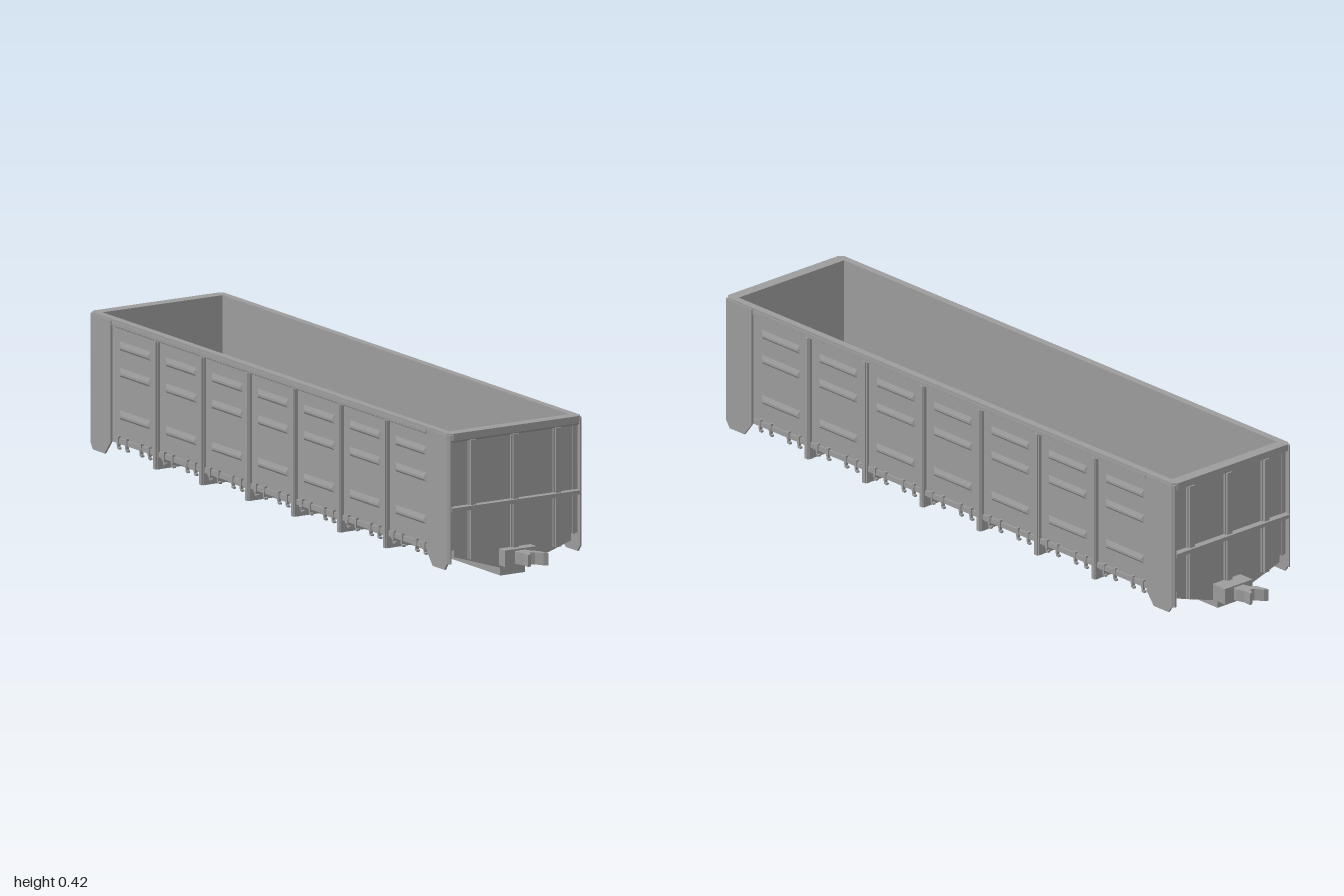
import * as THREE from 'three';

const paint = new THREE.MeshStandardMaterial({ color: 0x9c9c9c, flatShading: true, side: THREE.DoubleSide });

function add(parent, name, geometry) {
  const mesh = new THREE.Mesh(geometry, paint);
  mesh.name = name;
  parent.add(mesh);
  return mesh;
}

// Box given by its minimum and maximum on each axis
function box(parent, name, x0, x1, y0, y1, z0, z1) {
  const g = new THREE.BoxGeometry(x1 - x0, y1 - y0, z1 - z0);
  g.translate((x0 + x1) / 2, (y0 + y1) / 2, (z0 + z1) / 2);
  return add(parent, name, g);
}

function extrude(points, depth, hole) {
  const shape = new THREE.Shape(points.map(([a, b]) => new THREE.Vector2(a, b)));
  if (hole) shape.holes.push(new THREE.Path(hole.map(([a, b]) => new THREE.Vector2(a, b))));
  return new THREE.ExtrudeGeometry(shape, { depth, bevelEnabled: false });
}
// Outline in (x, z), raised from y
const plan = (pts, y, h, hole) =>
  extrude(pts.map(([x, z]) => [x, -z]), h, hole && hole.map(([x, z]) => [x, -z])).rotateX(-Math.PI / 2).translate(0, y, 0);
// Outline in (z, y), spanning x0..x1
const profile = (pts, x0, x1) => extrude(pts, x1 - x0).rotateY(-Math.PI / 2).translate(x1, 0, 0);

const rect = (x, z) => [[-x, -z], [x, -z], [x, z], [-x, z]];
const chamfered = (x, z, c) => [[-x + c, -z], [x - c, -z], [x, -z + c], [x, z - c], [x - c, z], [-x + c, z], [-x, z - c], [-x, -z + c]];

const RIBS = 6, PITCH = 0.231;
const ribZ = (i) => (i - (RIBS - 1) / 2) * PITCH;

// Shallow pressed louvre with a ridge along its lower half
function louvreGeometry() {
  const g = new THREE.BoxGeometry(0.005, 0.03, 0.158);
  const p = g.attributes.position;
  for (let i = 0; i < p.count; i++) {
    if (p.getX(i) > 0) {
      p.setY(i, p.getY(i) > 0 ? -0.002 : -0.008);
      p.setZ(i, p.getZ(i) * 0.88);
    }
  }
  g.computeVertexNormals();
  return g;
}

// Door hook: a small bent plate hanging under the side wall
const hookProfile = [[-0.004, 0.095], [0.004, 0.095], [0.005, 0.075], [0.002, 0.06], [-0.007, 0.058], [-0.007, 0.063], [-0.002, 0.065], [-0.003, 0.075]];

function createSide() {
  const side = new THREE.Group();
  side.name = 'side';
  box(side, 'sideWall', 0.195, 0.204, 0.088, 0.405, -0.89, 0.89);
  box(side, 'lowerSill', 0.203, 0.209, 0.074, 0.089, -0.8, 0.8);

  // Top rail with a sloped underside
  const rail = [[0.2, 0.392], [0.206, 0.395], [0.218, 0.403], [0.218, 0.413], [0.2, 0.413]];
  add(side, 'topRail', extrude(rail, 1.58).translate(0, 0, -0.79));

  // Vertical ribs between the door panels
  for (let i = 0; i < RIBS; i++) {
    const z = ribZ(i);
    box(side, 'rib', 0.2, 0.213, 0.04, 0.396, z - 0.009, z + 0.009);
    box(side, 'ribCap', 0.212, 0.217, 0.04, 0.398, z - 0.006, z + 0.006);
  }

  // Door panels with louvres and hooks
  const louvre = louvreGeometry();
  for (let i = 0; i <= RIBS; i++) {
    const z = (i - RIBS / 2) * PITCH;
    for (const y of [0.348, 0.274, 0.155]) {
      add(side, 'louvre', louvre).position.set(0.2055, y, z);
    }
    for (const dz of [-0.078, -0.036, 0.036, 0.078]) {
      add(side, 'doorHook', profile(hookProfile, 0.203, 0.212)).position.z = z + dz;
    }
  }

  // Corner plates with chamfered feet, folded round the end
  for (const s of [-1, 1]) {
    const pts = [[0.795, 0.415], [0.795, 0.075], [0.825, 0.037], [0.884, 0.037], [0.896, 0.055], [0.896, 0.415]];
    add(side, 'cornerPlate', profile(pts.map(([z, y]) => [s * z, y]), 0.213, 0.219));
    const fold = [[0.219, 0.888], [0.219, 0.896], [0.213, 0.905], [0.209, 0.905], [0.209, 0.899], [0.213, 0.888]];
    add(side, 'cornerFold', plan(fold.map(([x, z]) => [x, s * z]), 0.055, 0.36));
  }
  return side;
}

// End wall; its posts sit off centre by shift
function createEnd(shift) {
  const end = new THREE.Group();
  end.name = 'end';

  // End sheet tapering down to the centre sill
  const half = [[0.211, 0.41], [0.211, 0.09], [0.19, 0.09], [0.19, 0.07], [0.04, 0.022], [0.04, 0]];
  const sheet = [...half, ...half.map(([x, y]) => [-x, y]).reverse()];
  add(end, 'endSheet', extrude(sheet, 0.015).translate(0, 0, 0.873));

  // Sloped lip under the rim and the horizontal stiffener
  add(end, 'rimLip', profile([[0.885, 0.39], [0.89, 0.391], [0.904, 0.4], [0.885, 0.4]], -0.21, 0.21));
  box(end, 'crossStiffener', -0.211, 0.211, 0.201, 0.212, 0.885, 0.908);

  // Stepped posts
  for (const dx of [-0.139, 0, 0.138]) {
    const x = dx + shift, y = dx === 0 ? 0.07 : 0.06;
    box(end, 'endPostBase', x - 0.013, x + 0.013, y, 0.392, 0.885, 0.893);
    box(end, 'endPostCap', x - 0.009, x + 0.009, y, 0.394, 0.89, 0.9);
  }
  return end;
}

function createCoupler() {
  const coupler = new THREE.Group();
  coupler.name = 'coupler';
  box(coupler, 'couplerBlock', -0.051, 0.051, 0.03, 0.076, 0.87, 0.928);
  const head = [[-0.017, 0.92], [0.013, 0.92], [0.02, 0.945], [0.036, 0.963], [0.044, 1], [0.032, 0.994],
    [0.018, 0.972], [0.004, 0.967], [-0.003, 0.985], [-0.016, 0.99], [-0.013, 0.965], [-0.022, 0.94]];
  add(coupler, 'couplerHead', plan(head, 0.037, 0.034));
  return coupler;
}

export function createModel() {
  const model = new THREE.Group();
  model.name = 'openWagon';
  const body = new THREE.Group();
  body.name = 'body';
  body.position.z = 0.01;
  model.add(body);

  // Floor and top rim
  box(body, 'floor', -0.197, 0.197, 0.089, 0.094, -0.88, 0.88);
  add(body, 'topRim', plan(chamfered(0.216, 0.906, 0.012), 0.4, 0.02, rect(0.195, 0.8725)));

  // Both sides, ends and couplers
  for (const turn of [0, Math.PI]) {
    const side = createSide(), end = createEnd(0.005 * Math.cos(turn)), coupler = createCoupler();
    for (const part of [side, end, coupler]) part.rotation.y = turn;
    coupler.position.x = 0.007;
    body.add(side, end);
    model.add(coupler);
  }

  // Centre sill rails
  for (const s of [-1, 1]) {
    const x = s * 0.033;
    box(body, 'sillRail', x - 0.007, x + 0.007, 0, 0.022, -0.885, 0.885);
  }

  // Cross bearers under the floor, one at each rib
  for (let i = 0; i < RIBS; i++) {
    const z = ribZ(i);
    box(body, 'bearer', -0.205, 0.205, 0.04, 0.065, z - 0.008, z + 0.008);
    box(body, 'bearerWeb', -0.19, 0.19, 0.06, 0.09, z - 0.003, z + 0.003);
  }
  return model;
}
